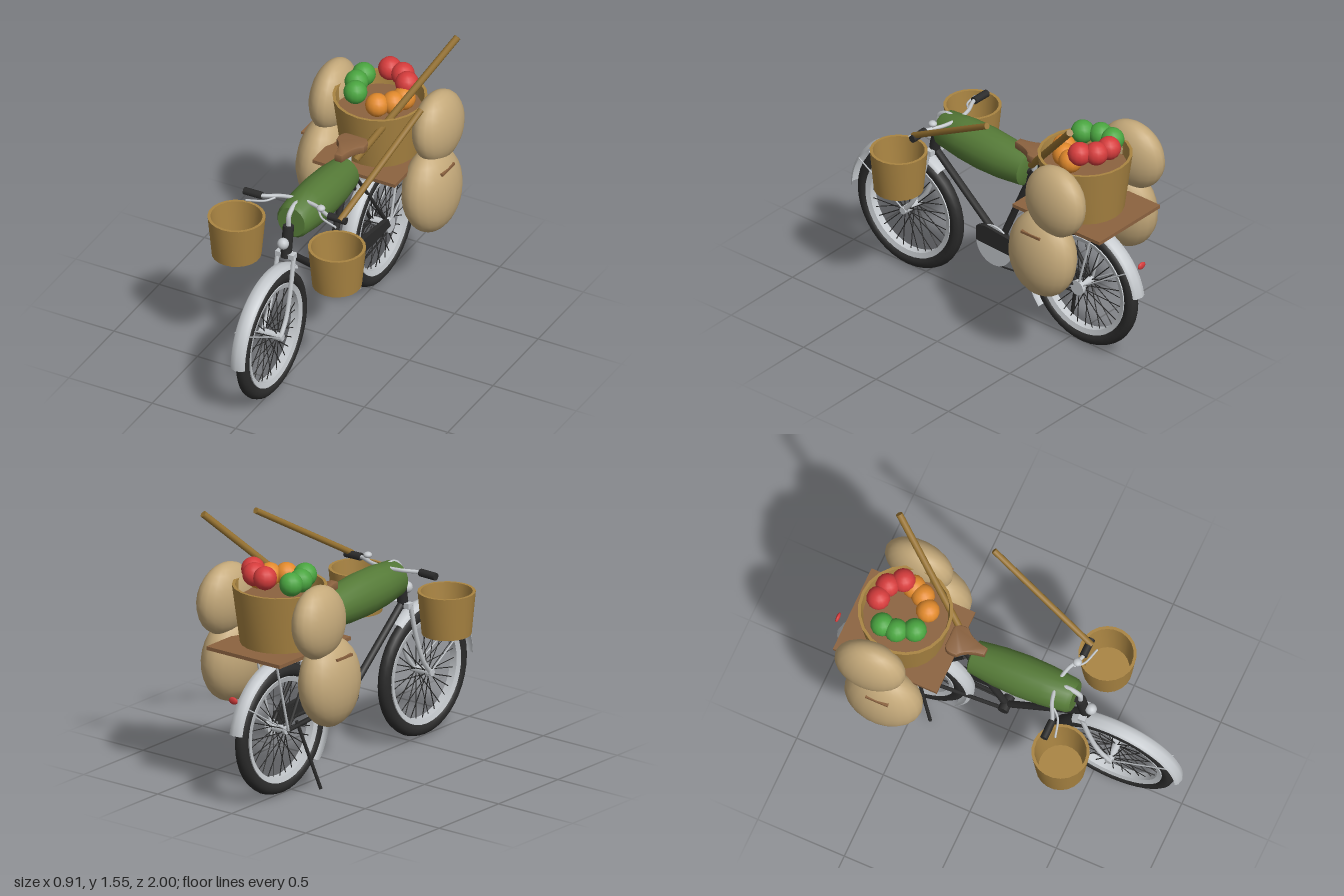
import * as THREE from 'three';
import { mergeGeometries, toCreasedNormals } from 'three/addons/utils/BufferGeometryUtils.js';

const V = (x, y, z) => new THREE.Vector3(x, y, z);

function material(name, color, side = THREE.FrontSide) {
  const m = new THREE.MeshStandardMaterial({ color, side });
  m.name = name;
  return m;
}

// Straight rod geometry between two points
function rod(a, b, r, sides = 8, rEnd = r) {
  const d = b.clone().sub(a);
  const g = new THREE.CylinderGeometry(rEnd, r, d.length(), sides);
  g.applyQuaternion(new THREE.Quaternion().setFromUnitVectors(V(0, 1, 0), d.normalize()));
  const mid = a.clone().add(b).multiplyScalar(0.5);
  return g.translate(mid.x, mid.y, mid.z);
}

function bend(points, r, steps = 24) {
  return new THREE.TubeGeometry(new THREE.CatmullRomCurve3(points), steps, r, 8);
}

function lathe(profile, segments, start = 0, length = Math.PI * 2) {
  return new THREE.LatheGeometry(profile.map(p => new THREE.Vector2(...p)), segments, start, length);
}

export function createModel() {
  const model = new THREE.Group();
  model.name = 'loadedBicycle';
  const dark = material('black', 0x2b2b2b);
  const silver = material('silver', 0xc4c8cc, THREE.DoubleSide);
  const wicker = material('wicker', 0xa98442);
  const burlap = material('burlap', 0xc4a97a);
  const canvas = material('greenCanvas', 0x557a37);
  const wood = material('brownWood', 0x8c6340);
  const bamboo = material('bamboo', 0x967231);
  const red = material('red', 0xd63c3c);
  const orange = material('orange', 0xe28a2c);
  const green = material('appleGreen', 0x4aa540);

  function add(name, geometry, mat, parent = model) {
    const mesh = new THREE.Mesh(geometry, mat);
    mesh.name = name;
    parent.add(mesh);
    return mesh;
  }

  // Wheels: tyre, rim, hub and crossed spokes around the x axis
  const wheelY = 0.371, frontZ = 0.605, rearZ = -0.597;
  function wheel(name, z) {
    const g = new THREE.Group();
    g.name = name;
    g.position.set(0, wheelY, z);
    model.add(g);
    add('tyre', new THREE.TorusGeometry(0.319, 0.037, 10, 40).rotateY(Math.PI / 2), dark, g);
    const rim = lathe([[0.262, -0.022], [0.29, -0.03], [0.29, 0.03], [0.262, 0.022], [0.262, -0.022]], 40);
    add('rim', toCreasedNormals(rim.rotateZ(Math.PI / 2), 0.6), silver, g);
    add('hub', rod(V(-0.05, 0, 0), V(0.05, 0, 0), 0.022, 12), silver, g);
    const spokes = [];
    for (let i = 0; i < 32; i++) {
      const a = i / 32 * Math.PI * 2, b = a + (i % 4 < 2 ? 0.28 : -0.28), x = i % 2 ? 0.035 : -0.035;
      spokes.push(rod(V(x, Math.sin(b) * 0.024, Math.cos(b) * 0.024),
        V(0, Math.sin(a) * 0.27, Math.cos(a) * 0.27), 0.0028, 4));
    }
    add('spokes', mergeGeometries(spokes), dark, g);
  }
  wheel('frontWheel', frontZ);
  wheel('rearWheel', rearZ);

  // Curved mudguards, angles measured from +z upward
  function mudguard(name, z, start, end) {
    const profile = [[0.372, -0.043], [0.388, -0.032], [0.397, 0], [0.388, 0.032], [0.372, 0.043]];
    const m = add(name, lathe(profile, 28, start, end - start).rotateZ(Math.PI / 2), silver);
    m.position.set(0, wheelY, z);
  }
  mudguard('frontMudguard', frontZ, 0, 2.2);
  mudguard('rearMudguard', rearZ, -0.7, 2.98);
  const reflector = add('rearReflector', new THREE.SphereGeometry(0.02, 10, 8), red);
  reflector.scale.set(1.5, 1, 0.5);
  reflector.position.set(0, 0.632, -0.987);

  // Main frame tubes
  const crank = V(0, 0.4, -0.015), seatTop = V(0, 0.93, -0.245);
  const headLow = V(0, 0.77, 0.445), headTop = V(0, 0.95, 0.415);
  add('seatTube', rod(crank, seatTop, 0.02), dark);
  add('downTube', rod(crank, V(0, 0.79, 0.43), 0.02), dark);
  add('topTube', rod(V(0, 0.91, -0.235), V(0, 0.93, 0.42), 0.018), dark);
  add('headTube', rod(headLow, headTop, 0.03, 12), dark);
  add('bottomBracket', rod(V(-0.045, 0.4, -0.015), V(0.045, 0.4, -0.015), 0.03, 12), dark);
  add('forkCrown', new THREE.BoxGeometry(0.11, 0.03, 0.04).translate(0, 0.785, 0.442), silver);
  for (const s of [-1, 1]) {
    add('forkBlade', bend([V(s * 0.048, 0.785, 0.445), V(s * 0.052, 0.58, 0.495),
      V(s * 0.055, 0.45, 0.545), V(s * 0.055, wheelY, frontZ)], 0.013), silver);
    add('chainStay', rod(V(s * 0.03, 0.4, -0.02), V(s * 0.055, wheelY, rearZ), 0.011), dark);
    add('seatStay', rod(V(s * 0.022, 0.91, -0.245), V(s * 0.055, wheelY, rearZ), 0.01), dark);
    add('frontMudguardStay', rod(V(s * 0.057, wheelY, frontZ), V(s * 0.042, 0.56, 0.93), 0.004, 6), silver);
    add('rearMudguardStay', rod(V(s * 0.057, wheelY, rearZ), V(s * 0.042, 0.57, -0.91), 0.004, 6), silver);
    add('carrierStrut', rod(V(s * 0.06, wheelY, rearZ), V(s * 0.065, 0.83, -0.72), 0.007, 6), silver);
    add('axleNut', rod(V(s * 0.05, wheelY, frontZ), V(s * 0.07, wheelY, frontZ), 0.02, 8), silver);
  }
  add('seatPost', rod(seatTop, V(0, 1.03, -0.265), 0.014), silver);
  add('headlamp', new THREE.SphereGeometry(0.032, 14, 10).translate(0, 0.87, 0.475), silver);

  // Chain side
  add('chainring', rod(V(0.048, 0.398, -0.015), V(0.058, 0.398, -0.015), 0.12, 32), silver);
  add('rearSprocket', rod(V(0.045, wheelY, rearZ), V(0.068, wheelY, rearZ), 0.043, 20), silver);
  add('chain', rod(V(0.053, 0.283, -0.015), V(0.053, 0.335, rearZ), 0.005, 5), dark);
  const guard = new THREE.Shape();
  // the shape's horizontal axis runs towards -z
  guard.moveTo(-0.09, 0.42);
  guard.lineTo(-0.09, 0.49);
  guard.quadraticCurveTo(-0.05, 0.515, 0, 0.507);
  guard.lineTo(0.55, 0.44);
  guard.lineTo(0.575, 0.385);
  guard.lineTo(0.4, 0.378);
  guard.lineTo(-0.09, 0.405);
  add('chainGuard', new THREE.ExtrudeGeometry(guard, { depth: 0.025, bevelEnabled: false })
    .rotateY(Math.PI / 2).translate(0.052, 0, 0), dark);
  add('kickstand', rod(V(-0.045, 0.4, -0.51), V(-0.12, 0.01, -0.4), 0.01), dark);

  // Handlebar, grips, brake levers and bell
  add('stem', bend([headTop, V(0, 1.01, 0.41), V(0, 1.04, 0.36), V(0, 1.035, 0.28)], 0.014), silver);
  add('handlebar', bend([V(-0.3, 1.03, 0.34), V(-0.2, 1.032, 0.34), V(-0.1, 1.035, 0.295), V(0, 1.035, 0.28),
    V(0.1, 1.035, 0.295), V(0.2, 1.032, 0.34), V(0.3, 1.03, 0.34)], 0.011, 40), silver);
  for (const s of [-1, 1]) {
    add('grip', rod(V(s * 0.2, 1.032, 0.34), V(s * 0.305, 1.03, 0.34), 0.021, 10), dark);
    add('brakeLever', bend([V(s * 0.13, 1.03, 0.32), V(s * 0.17, 1.02, 0.36), V(s * 0.27, 1.01, 0.39)], 0.006), silver);
  }
  add('bell', new THREE.SphereGeometry(0.024, 12, 8).scale(1, 0.7, 1).translate(0.148, 1.057, 0.33), silver);

  // Saddle with springs
  const saddle = new THREE.Shape();
  saddle.moveTo(-0.015, 0.14);
  saddle.lineTo(0.015, 0.14);
  saddle.quadraticCurveTo(0.03, 0.24, 0.075, 0.27);
  saddle.quadraticCurveTo(0.085, 0.33, 0.05, 0.335);
  saddle.lineTo(-0.05, 0.335);
  saddle.quadraticCurveTo(-0.085, 0.33, -0.075, 0.27);
  saddle.quadraticCurveTo(-0.03, 0.24, -0.015, 0.14);
  add('saddle', toCreasedNormals(new THREE.ExtrudeGeometry(saddle, {
    depth: 0.03, bevelSize: 0.008, bevelThickness: 0.008, bevelSegments: 2, curveSegments: 6
  }).rotateX(-Math.PI / 2).translate(0, 1.035, 0), 0.7), wood);
  for (const x of [-0.045, 0.045]) add('saddleSpring', rod(V(x, 0.98, -0.325), V(x, 1.035, -0.325), 0.012), dark);

  // Green bundle lying along the top tube
  const bundle = lathe([[0, -0.295], [0.075, -0.295], [0.095, -0.285], [0.115, -0.14], [0.122, 0],
    [0.117, 0.13], [0.1, 0.28], [0.085, 0.3], [0, 0.3]], 18);
  const roll = add('greenBundle', toCreasedNormals(bundle.rotateX(Math.PI / 2), 0.7), canvas);
  roll.scale.x = 0.95;
  roll.position.set(0, 0.935, 0.085);
  roll.rotation.x = -0.06;

  // Open baskets
  function basket(name, x, z, y0, y1, rb, rt) {
    const t = 0.016;
    const m = add(name, toCreasedNormals(lathe([[0, y0], [rb, y0], [rt, y1], [rt - t, y1],
      [rb - t, y0 + t], [0, y0 + t]], 22), 0.6), wicker);
    m.position.set(x, 0, z);
  }
  basket('rightFrontBasket', -0.301, 0.435, 0.69, 0.926, 0.132, 0.154);
  basket('leftFrontBasket', 0.301, 0.435, 0.69, 0.926, 0.132, 0.154);
  basket('fruitBasket', 0, -0.597, 0.86, 1.18, 0.21, 0.252);
  add('basketFilling', new THREE.CylinderGeometry(0.229, 0.225, 0.02, 22).translate(0, 1.09, -0.597), wood);

  // Rear carrier and wooden board
  add('carrier', new THREE.BoxGeometry(0.15, 0.015, 0.52).translate(0, 0.832, -0.57), silver);
  add('board', new THREE.BoxGeometry(0.495, 0.02, 0.6).translate(0, 0.85, -0.605), wood);
  add('crossPlank', new THREE.BoxGeometry(0.85, 0.014, 0.13).translate(0, 0.853, -0.575), wood);

  // Fruit in the basket
  const fruit = [
    [green, 1.225, [[-0.137, -0.67], [-0.137, -0.59], [-0.095, -0.5]]],
    [red, 1.255, [[-0.02, -0.745], [0.065, -0.73], [0.125, -0.665]]],
    [orange, 1.195, [[0.135, -0.61], [0.108, -0.545], [0.042, -0.487]]]
  ];
  for (const [mat, y, spots] of fruit)
    for (const [x, z] of spots) add('fruit', new THREE.SphereGeometry(0.064, 14, 10).translate(x, y, z), mat);

  // Burlap sacks, two hanging on each side
  function sack(name, x, y, z, rx, ry, rz, tilt) {
    const m = add(name, new THREE.SphereGeometry(1, 20, 14), burlap);
    m.scale.set(rx, ry, rz);
    m.position.set(x, y, z);
    m.rotation.set(0, -tilt, tilt);
  }
  for (const s of [-1, 1]) {
    sack('upperSack', s * 0.315, 1.05, -0.66, 0.11, 0.2, 0.197, s * 0.06);
    sack('lowerSack', s * 0.322, 0.702, -0.578, 0.135, 0.246, 0.217, s * 0.06);
  }

  // Bamboo poles
  add('frontPole', rod(V(0.275, 1.035, 0.355), V(0.42, 1.41, -0.275), 0.017, 10), bamboo);
  add('rearPole', rod(V(0.04, 0.985, -0.26), V(0.358, 1.545, -0.795), 0.019, 10), bamboo);

  return model;
}
